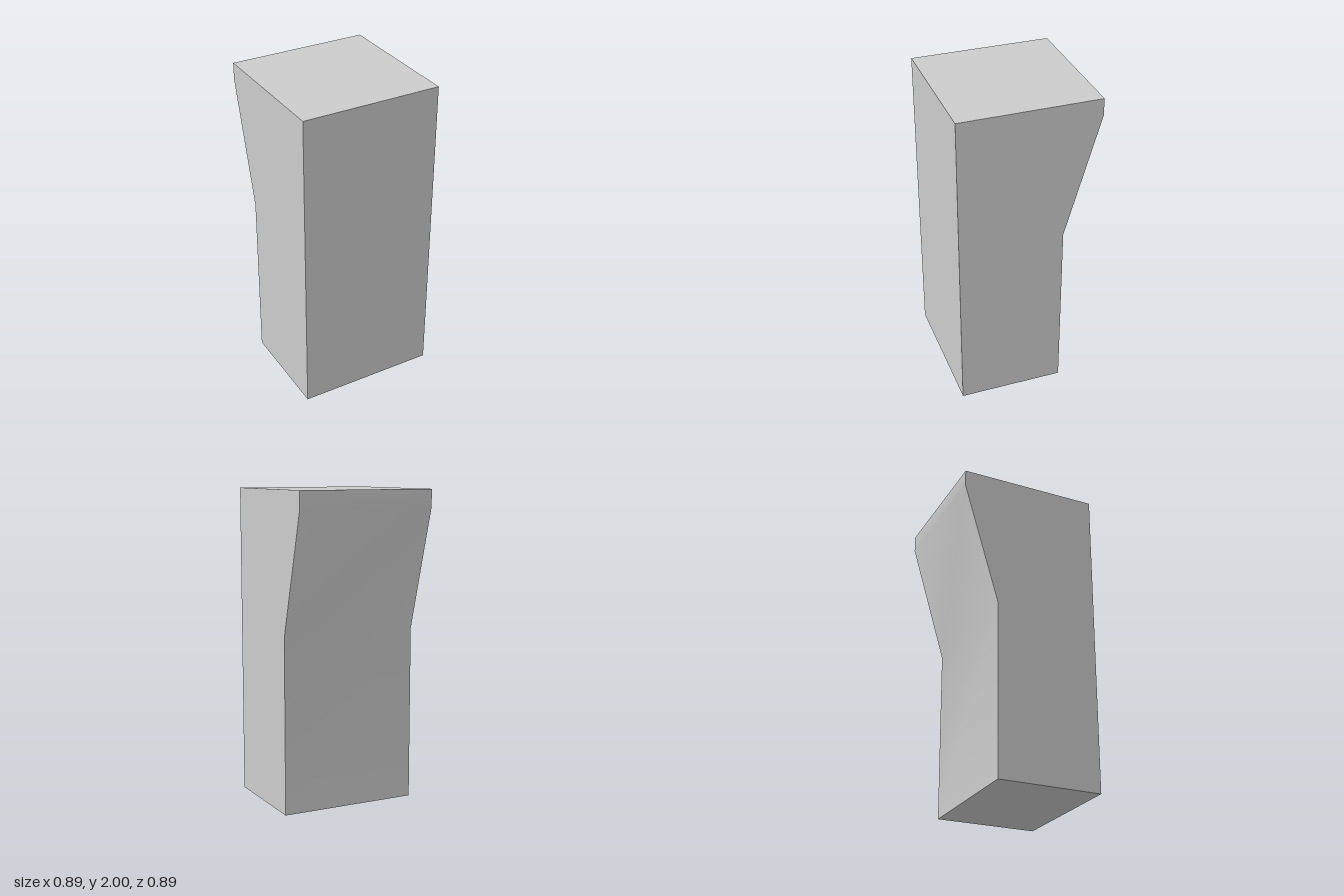
import * as THREE from 'three';
import { toCreasedNormals } from 'three/addons/utils/BufferGeometryUtils.js';

const HALF = 0.445; // half of width and depth

export function createModel() {
  const group = new THREE.Group();
  group.name = 'pillar';

  // Side profile as (depth towards the back, height)
  const profile = new THREE.Shape([
    [-HALF, 0],
    [0.22, 0],
    [0.22, 1.115], // start of the overhang
    [HALF, 1.89], // underside of the top lip
    [HALF, 2],
    [-HALF, 2],
  ].map(([d, y]) => new THREE.Vector2(d, y)));

  // Extrude across the width, then turn the profile's depth towards -z
  const extruded = new THREE.ExtrudeGeometry(profile, { depth: 2 * HALF, bevelEnabled: false });
  extruded.translate(0, 0, -HALF);
  extruded.rotateY(Math.PI / 2);

  // Back bends are softly shaded, the square corners stay sharp
  const geometry = toCreasedNormals(extruded, Math.PI / 6);
  const block = new THREE.Mesh(geometry, new THREE.MeshStandardMaterial({ color: 0xcccccc }));
  block.name = 'overhangingBlock';
  group.add(block);

  return group;
}
